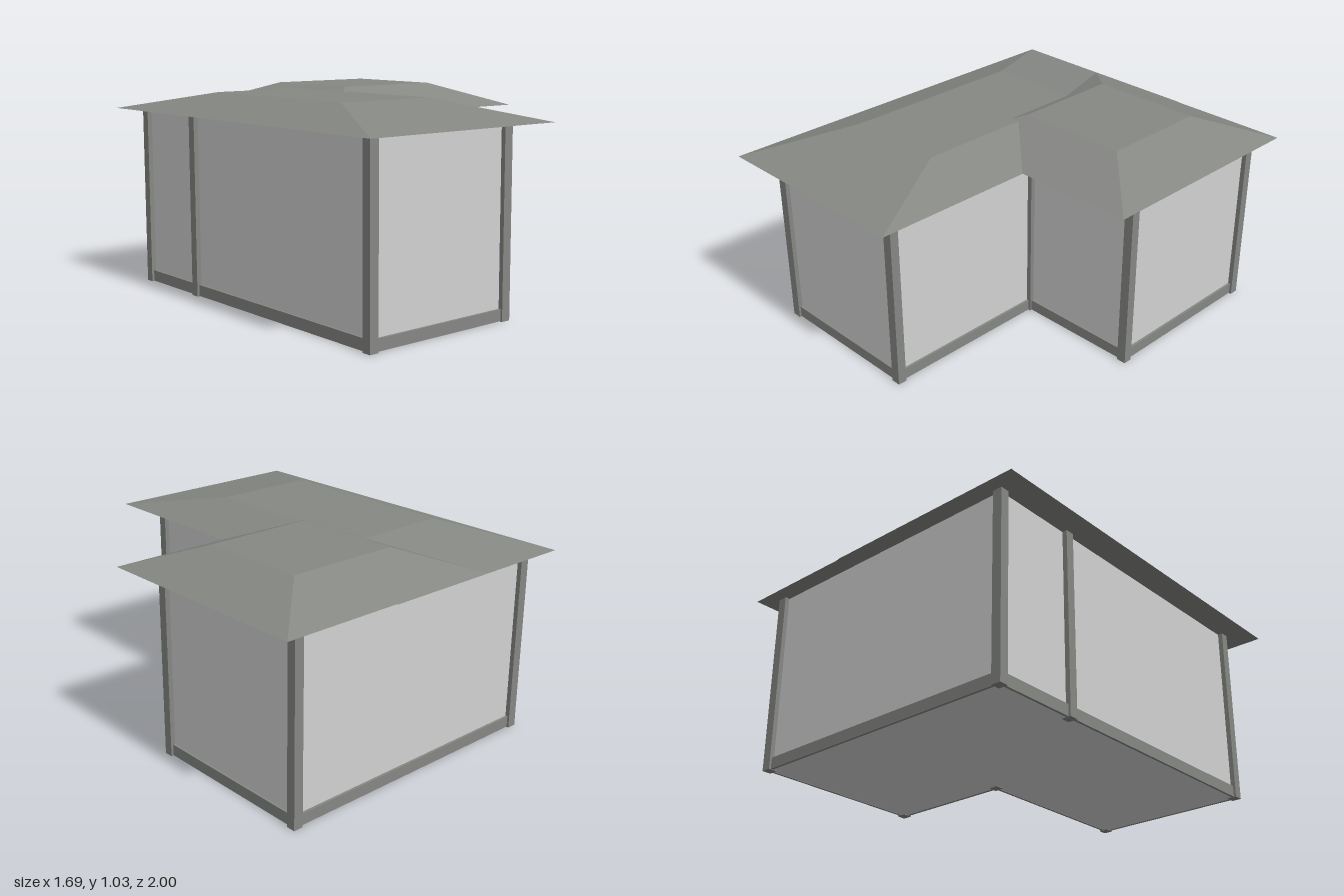
import * as THREE from 'three';

const WALL_TOP = 0.91;

// L-shaped footprint, grown outwards by d; plan y is -z
function footprint(d, PathClass = THREE.Shape) {
  const path = new PathClass();
  [
    [-0.71 - d, 0.84 + d], [0.083 + d, 0.84 + d], [0.083 + d, -0.042 + d],
    [0.722 + d, -0.042 + d], [0.722 + d, -0.91 - d], [-0.71 - d, -0.91 - d],
  ].forEach(([x, z], i) => (i ? path.lineTo(x, -z) : path.moveTo(x, -z)));
  path.closePath();
  return path;
}

// Extrude a plan shape upwards from y0 to y1
function raise(shape, y0, y1) {
  const g = new THREE.ExtrudeGeometry(shape, { depth: y1 - y0, bevelEnabled: false });
  return g.rotateX(-Math.PI / 2).translate(0, y0, 0);
}

// Flat-topped hip roof: a box whose top corners are drawn inwards
function hipRoof(baseW, baseD, topW, topD, height) {
  const g = new THREE.BoxGeometry(baseW, height, baseD).translate(0, height / 2, 0);
  const p = g.attributes.position;
  for (let i = 0; i < p.count; i++) {
    if (p.getY(i) > height / 2) {
      p.setX(i, Math.sign(p.getX(i)) * topW / 2);
      p.setZ(i, Math.sign(p.getZ(i)) * topD / 2);
    }
  }
  g.computeVertexNormals();
  return g;
}

export function createModel() {
  const house = new THREE.Group();
  house.name = 'house';

  const wallPaint = new THREE.MeshStandardMaterial({ color: 0xd2d2d2 });
  wallPaint.name = 'light grey';
  const trimPaint = new THREE.MeshStandardMaterial({ color: 0x868884 });
  trimPaint.name = 'mid grey';

  const add = (name, geometry, material, x = 0, y = 0, z = 0) => {
    const mesh = new THREE.Mesh(geometry, material);
    mesh.name = name;
    mesh.position.set(x, y, z);
    house.add(mesh);
  };

  // Walls and floor
  add('walls', raise(footprint(0), 0.004, WALL_TOP - 0.001), wallPaint);

  // Plinth band around the foot of the walls
  const band = footprint(0.012);
  band.holes.push(footprint(0, THREE.Path));
  add('plinth', raise(band, 0.002, 0.058), trimPaint);

  // Posts on the corners, plus one midway along the long side
  const postGeometry = new THREE.BoxGeometry(0.048, WALL_TOP, 0.045);
  [
    [-0.71, 0.84], [0.083, 0.84], [0.083, -0.042], [0.722, -0.042],
    [0.722, -0.91], [-0.71, -0.91], [-0.71, -0.47],
  ].forEach(([x, z]) => add('post', postGeometry, trimPaint, x, WALL_TOP / 2, z));

  // Two intersecting hip roofs
  add('mainRoof', hipRoof(1.08, 2, 0.52, 0.96, 0.095), trimPaint, -0.308, WALL_TOP, 0);
  add('wingRoof', hipRoof(1.19, 1.163, 0.57, 0.55, 0.115), trimPaint, 0.248, WALL_TOP + 0.0005, -0.414);

  return house;
}
